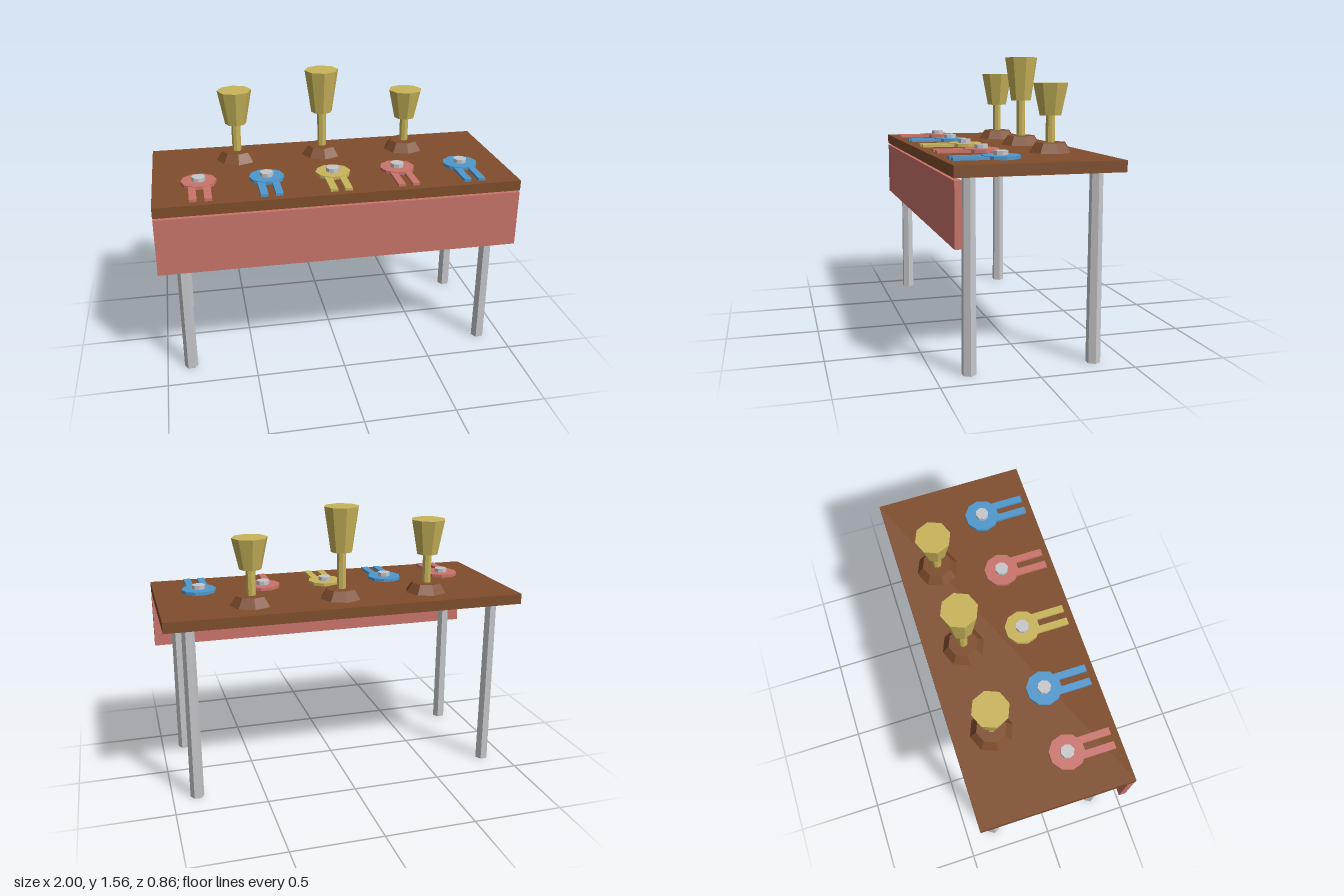
import * as THREE from 'three';

const flat = (name, color) => {
  const m = new THREE.MeshStandardMaterial({ color, flatShading: true });
  m.name = name;
  return m;
};

export function createModel() {
  const wood = flat('wood', 0x7f4d2c);
  const gold = flat('gold', 0xc8b45a);
  const pink = flat('pink', 0xc9736a);
  const blue = flat('blue', 0x4f98cd);
  const silver = flat('silver', 0xc6c7cb);

  const root = new THREE.Group();
  root.name = 'awardTable';

  // Box and upright prism placed by their bottom height
  const box = (parent, name, mat, w, h, d, x, y, z) => {
    const mesh = new THREE.Mesh(new THREE.BoxGeometry(w, h, d), mat);
    mesh.name = name;
    mesh.position.set(x, y + h / 2, z);
    parent.add(mesh);
  };
  const prism = (parent, name, mat, rTop, rBottom, h, sides, x, y, z, turn = 0) => {
    const mesh = new THREE.Mesh(new THREE.CylinderGeometry(rTop, rBottom, h, sides), mat);
    mesh.name = name;
    mesh.position.set(x, y + h / 2, z);
    mesh.rotation.y = turn;
    parent.add(mesh);
  };

  // Table
  const topY = 1.047;
  box(root, 'tableTop', wood, 2, 0.058, 0.86, 0, 0.989, 0);
  box(root, 'frontBanner', pink, 2, 0.32, 0.037, 0, 0.657, 0.409);
  for (const x of [-0.866, 0.866])
    for (const z of [-0.327, 0.327])
      prism(root, 'leg', silver, 0.034, 0.038, 0.989, 6, x, 0, z, Math.PI / 6);

  // Trophies: flared base, stem and solid cup
  const trophies = [
    [-0.507, 1.265, 1.461],
    [0, 1.307, 1.556],
    [0.507, 1.243, 1.413],
  ];
  for (const [x, cupY, cupTop] of trophies) {
    const trophy = new THREE.Group();
    trophy.name = 'trophy';
    trophy.position.set(x, 0, -0.213);
    prism(trophy, 'trophyBase', wood, 0.084, 0.12, 0.053, 8, 0, topY, 0);
    prism(trophy, 'trophyStem', gold, 0.026, 0.026, cupY - 1.1, 8, 0, 1.1, 0);
    prism(trophy, 'trophyCup', gold, 0.0985, 0.061, cupTop - cupY, 8, 0, cupY, 0);
    root.add(trophy);
  }

  // Rosettes lying on the table: disc, centre button and two tails
  [pink, blue, gold, pink, blue].forEach((mat, i) => {
    const rosette = new THREE.Group();
    rosette.name = 'rosette';
    rosette.position.set((i - 2) * 0.374, topY, 0.132);
    prism(rosette, 'rosetteDisc', mat, 0.0985, 0.0985, 0.018, 10, 0, 0, 0, Math.PI / 10);
    prism(rosette, 'rosetteButton', silver, 0.038, 0.038, 0.022, 8, 0, 0.018, 0);
    for (const s of [-1, 1])
      box(rosette, 'rosetteTail', mat, 0.04, 0.015, 0.19, s * 0.04, 0, 0.161);
    root.add(rosette);
  });

  return root;
}
